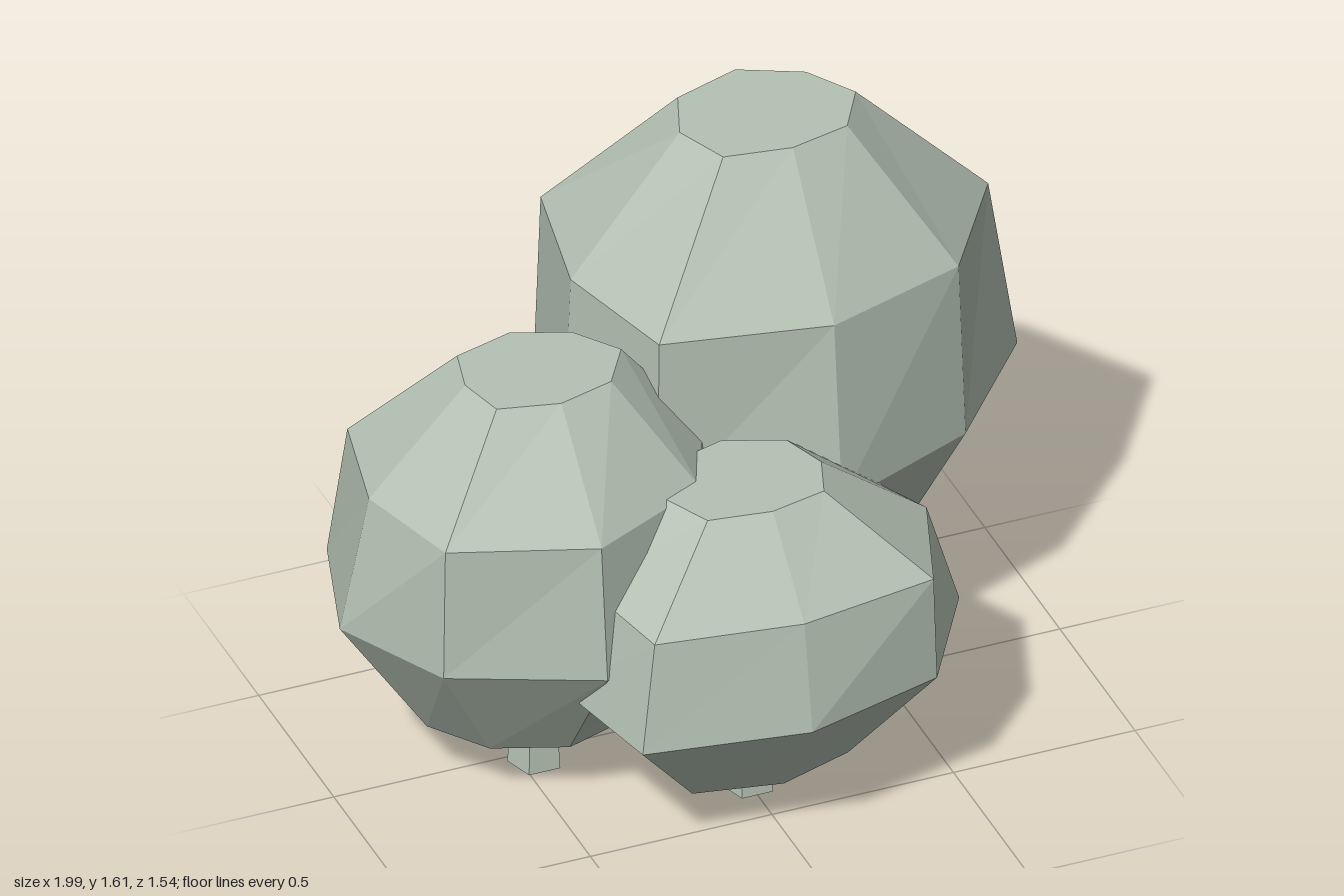
import * as THREE from 'three';

const SIDES = 8;
const DEPTH = 0.81; // crowns are flattened front to back

// Each ring: height, then radii going E, SE, S, SW, W, NW, N, NE
const TREES = [
  { name: 'tallTree', x: 0.3, z: -0.26, rings: [
    [0.245, 0.36, 0.31, 0.34, 0.32, 0.32, 0.33, 0.31, 0.32],
    [0.72, 0.69, 0.58, 0.62, 0.64, 0.56, 0.68, 0.63, 0.59],
    [1.23, 0.61, 0.56, 0.555, 0.63, 0.54, 0.66, 0.605, 0.56],
    [1.605, 0.245, 0.235, 0.215, 0.255, 0.24, 0.26, 0.26, 0.23]] },
  { name: 'middleTree', x: -0.46, z: 0.04, rings: [
    [0.18, 0.3, 0.28, 0.28, 0.27, 0.3, 0.31, 0.27, 0.27],
    [0.54, 0.51, 0.54, 0.59, 0.54, 0.54, 0.61, 0.51, 0.53],
    [0.92, 0.46, 0.48, 0.54, 0.53, 0.46, 0.55, 0.49, 0.48],
    [1.2, 0.235, 0.22, 0.21, 0.23, 0.195, 0.23, 0.22, 0.21]] },
  { name: 'smallTree', x: 0, z: 0.345, rings: [
    [0.145, 0.315, 0.29, 0.29, 0.33, 0.27, 0.28, 0.3, 0.29],
    [0.42, 0.58, 0.55, 0.525, 0.62, 0.515, 0.57, 0.56, 0.57],
    [0.72, 0.49, 0.54, 0.46, 0.55, 0.45, 0.5, 0.5, 0.5],
    [0.935, 0.2, 0.22, 0.2, 0.24, 0.235, 0.24, 0.23, 0.22]] },
];

// Faceted crown skinned over its rings, closed with flat caps
function crownGeometry(rings) {
  const points = [];
  const index = [];
  for (const [y, ...radii] of rings) {
    radii.forEach((r, i) => {
      const a = (i / SIDES) * Math.PI * 2;
      points.push(r * Math.cos(a), y, r * Math.sin(a) * DEPTH);
    });
  }
  const last = (rings.length - 1) * SIDES;
  for (let k = 0; k < last; k += SIDES) {
    for (let i = 0; i < SIDES; i++) {
      const j = (i + 1) % SIDES;
      const a = k + i, b = k + j, c = a + SIDES, d = b + SIDES;
      index.push(a, c, b, b, c, d);
    }
  }
  for (let i = 1; i < SIDES - 1; i++) {
    index.push(0, i, i + 1); // underside
    index.push(last, last + i + 1, last + i); // top
  }
  const geometry = new THREE.BufferGeometry();
  geometry.setAttribute('position', new THREE.Float32BufferAttribute(points, 3));
  geometry.setIndex(index);
  const flat = geometry.toNonIndexed();
  flat.computeVertexNormals();
  return flat;
}

export function createModel() {
  const group = new THREE.Group();
  group.name = 'treeCluster';
  const sage = new THREE.MeshStandardMaterial({ color: 0xb5c2b4 });
  sage.name = 'sage';
  sage.flatShading = true;

  for (const { name, x, z, rings } of TREES) {
    const tree = new THREE.Group();
    tree.name = name;
    tree.position.set(x, 0, z);

    const crown = new THREE.Mesh(crownGeometry(rings), sage);
    crown.name = 'crown';

    // Five-sided tapered trunk with a flat side to the front
    const height = rings[0][0] + 0.05;
    const trunk = new THREE.Mesh(new THREE.CylinderGeometry(0.058, 0.073, height, 5), sage);
    trunk.name = 'trunk';
    trunk.position.y = height / 2;
    trunk.rotation.y = Math.PI;

    tree.add(crown, trunk);
    group.add(tree);
  }
  return group;
}
